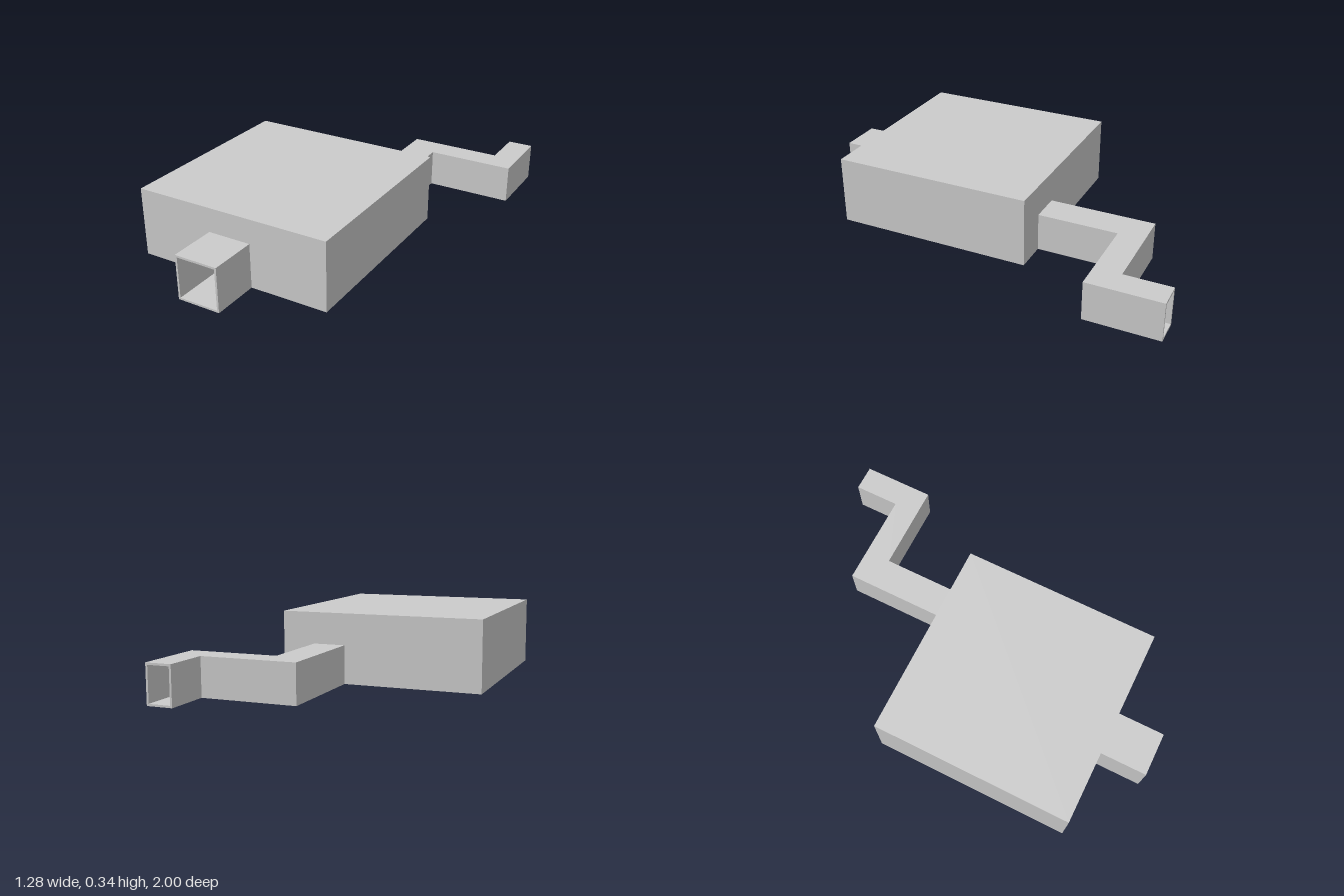
import * as THREE from 'three';

const T = 0.01; // wall thickness
const material = new THREE.MeshStandardMaterial({ color: 0xcccccc, flatShading: true });

function addMesh(parent, name, geometry) {
  const mesh = new THREE.Mesh(geometry, material);
  mesh.name = name;
  parent.add(mesh);
  return mesh;
}

// Solid between two heights with a floor plan given as [x, z] points
function addPlan(parent, name, points, y0, y1) {
  const shape = new THREE.Shape(points.map(([x, z]) => new THREE.Vector2(x, -z)));
  const geometry = new THREE.ExtrudeGeometry(shape, { depth: y1 - y0, bevelEnabled: false });
  geometry.rotateX(-Math.PI / 2).translate(0, y0, 0);
  return addMesh(parent, name, geometry);
}

function rect(x0, x1, z0, z1) {
  return [[x0, z0], [x1, z0], [x1, z1], [x0, z1]];
}

// Hollow passage open at both ends, between two plan polylines
function passage(name, lowSide, highSide, height) {
  const group = new THREE.Group();
  group.name = name;
  const inset = (side, dx) => side.map(([x, z], i) =>
    [x + dx, i === 0 || i === side.length - 1 ? z : z + dx]);
  const outline = [...lowSide, ...[...highSide].reverse()];
  addPlan(group, 'floor', outline, 0, T);
  addPlan(group, 'roof', outline, height - T, height);
  addPlan(group, 'rightWall', [...lowSide, ...inset(lowSide, T).reverse()], T, height - T);
  addPlan(group, 'leftWall', [...highSide, ...inset(highSide, -T).reverse()], T, height - T);
  return group;
}

// Upright wall across x with a doorway cut through it
function addDoorWall(parent, name, x0, x1, y0, y1, z, door) {
  const box = (a, b, c, d) => [[a, c], [b, c], [b, d], [a, d]].map(p => new THREE.Vector2(...p));
  const shape = new THREE.Shape(box(x0, x1, y0, y1));
  // the doorway starts at floor level, so the wall outline steps around it
  shape.setFromPoints([
    [x0, y0], [door.x0, y0], [door.x0, door.top], [door.x1, door.top],
    [door.x1, y0], [x1, y0], [x1, y1], [x0, y1],
  ].map(p => new THREE.Vector2(...p)));
  const geometry = new THREE.ExtrudeGeometry(shape, { depth: T, bevelEnabled: false });
  addMesh(parent, name, geometry.translate(0, 0, z));
}

export function createModel() {
  const model = new THREE.Group();
  model.name = 'roomWithPassages';

  // Main hollow room
  const X0 = -0.64, X1 = 0.363, Z0 = -0.242, Z1 = 0.763, H = 0.345;
  const room = new THREE.Group();
  room.name = 'room';
  model.add(room);
  addPlan(room, 'floor', rect(X0, X1, Z0, Z1), 0, T);
  addPlan(room, 'roof', rect(X0, X1, Z0, Z1), H - T, H);
  addPlan(room, 'rightWall', rect(X0, X0 + T, Z0, Z1), T, H - T);
  addPlan(room, 'leftWall', rect(X1 - T, X1, Z0, Z1), T, H - T);

  // Entrance and back corridor share their sizes with the doorways
  const entry = { x0: -0.25, x1: -0.03, height: 0.223 };
  const hall = { x0: 0.04, x1: 0.2, height: 0.19 };
  const door = p => ({ x0: p.x0 + T, x1: p.x1 - T, top: p.height - T });
  addDoorWall(room, 'frontWall', X0 + T, X1 - T, T, H - T, Z1 - T, door(entry));
  addDoorWall(room, 'backWall', X0 + T, X1 - T, T, H - T, Z0, door(hall));

  // Short entrance tunnel at the front
  model.add(passage('entranceTunnel',
    [[entry.x0, 1], [entry.x0, Z1]],
    [[entry.x1, 1], [entry.x1, Z1]], entry.height));

  // Corridor with two right-angle bends at the back
  model.add(passage('backCorridor',
    [[hall.x0, Z0], [hall.x0, -0.77], [0.512, -0.77], [0.512, -1]],
    [[hall.x1, Z0], [hall.x1, -0.64], [0.64, -0.64], [0.64, -1]], hall.height));

  return model;
}
